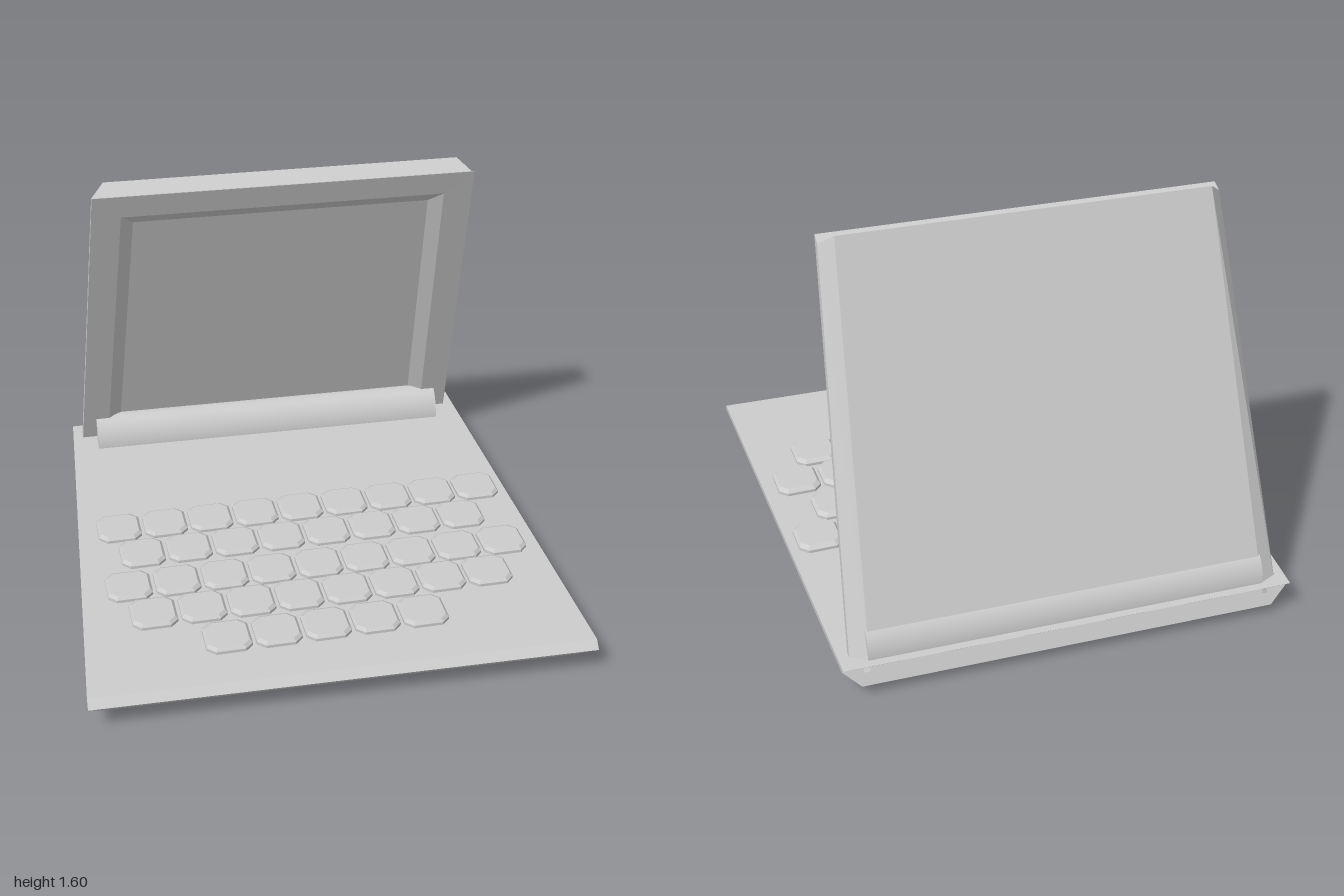
import * as THREE from 'three';

const material = new THREE.MeshStandardMaterial({ color: 0xcccccc, flatShading: true });
const smooth = new THREE.MeshStandardMaterial({ color: 0xcccccc });

// Skins a stack of rings (counter-clockwise seen from the last ring) and caps both ends.
function loft(rings) {
  const pos = [];
  const tri = (a, b, c) => pos.push(...a, ...b, ...c);
  const n = rings[0].length;
  for (let r = 0; r < rings.length - 1; r++) {
    for (let i = 0; i < n; i++) {
      const j = (i + 1) % n, a = rings[r], b = rings[r + 1];
      tri(a[i], a[j], b[j]);
      tri(a[i], b[j], b[i]);
    }
  }
  const first = rings[0], last = rings[rings.length - 1];
  for (let i = 1; i < n - 1; i++) {
    tri(first[0], first[i + 1], first[i]);
    tri(last[0], last[i], last[i + 1]);
  }
  const geometry = new THREE.BufferGeometry();
  geometry.setAttribute('position', new THREE.Float32BufferAttribute(pos, 3));
  geometry.computeVertexNormals();
  return geometry;
}

// Symmetric four-cornered ring: half width, y, z of one edge, then of the opposite edge.
const trapezoid = (w1, y1, z1, w2, y2, z2) =>
  [[-w1, y1, z1], [w1, y1, z1], [w2, y2, z2], [-w2, y2, z2]];

// Rectangle with cut corners for a key; back is the z of its far edge.
function keyRing(w, front, back, cut, y) {
  return [
    [-w + cut, y, front], [w - cut, y, front], [w, y, front - cut], [w, y, back + cut],
    [w - cut, y, back], [-w + cut, y, back], [-w, y, back + cut], [-w, y, front - cut],
  ];
}

function addMesh(parent, name, geometry, mat = material) {
  const mesh = new THREE.Mesh(geometry, mat);
  mesh.name = name;
  parent.add(mesh);
  return mesh;
}

export function createModel() {
  const model = new THREE.Group();
  model.name = 'laptop';

  // Tapered base with a bevelled underside and notched back edge
  addMesh(model, 'base', loft([
    trapezoid(0.91, 0.045, 0.93, 0.82, 0.045, -0.99),
    trapezoid(0.98, 0.11, 1.0, 0.89, 0.11, -0.965),
    trapezoid(0.98, 0.14, 0.97, 0.89, 0.14, -1.0),
  ]));

  // Leaning lid: back, groove, front rim, screen opening, recessed screen
  addMesh(model, 'lid', loft([
    trapezoid(0.785, 0.1, -0.98, 0.722, 1.595, -0.405),
    trapezoid(0.855, 0.08, -0.954, 0.775, 1.55, -0.356),
    trapezoid(0.855, 0.065, -0.923, 0.775, 1.567, -0.312),
    trapezoid(0.732, 0.2, -0.869, 0.662, 1.46, -0.356),
    trapezoid(0.675, 0.22, -0.9, 0.61, 1.41, -0.415),
  ]));

  // Oval hinge barrel
  const barrel = new THREE.CylinderGeometry(0.132, 0.132, 1.575, 40);
  barrel.rotateZ(Math.PI / 2);
  barrel.scale(1, 1, 0.094 / 0.132);
  addMesh(model, 'hinge', barrel, smooth).position.set(0, 0.132, -0.873);

  // Staggered, slightly skewed key rows
  const keyGeometry = loft([
    keyRing(0.09, 0.094, -0.094, 0.032, 0),
    keyRing(0.09, 0.094, -0.094, 0.032, 0.014),
    keyRing(0.079, 0.083, -0.073, 0.028, 0.026),
  ]);
  const rows = [
    { count: 9, x: 0.02, z: -0.133 },
    { count: 8, x: 0.0, z: 0.067 },
    { count: 9, x: 0.02, z: 0.287 },
    { count: 8, x: 0.0, z: 0.484 },
    { count: 5, x: -0.03, z: 0.692 },
  ];
  const keyboard = new THREE.Group();
  keyboard.name = 'keyboard';
  model.add(keyboard);
  for (const row of rows) {
    for (let i = 0; i < row.count; i++) {
      const x = row.x + (i - (row.count - 1) / 2) * 0.195;
      const key = addMesh(keyboard, 'key', keyGeometry);
      key.position.set(x, 0.138, row.z - 0.029 * x);
      key.rotation.y = 0.028;
    }
  }

  return model;
}
